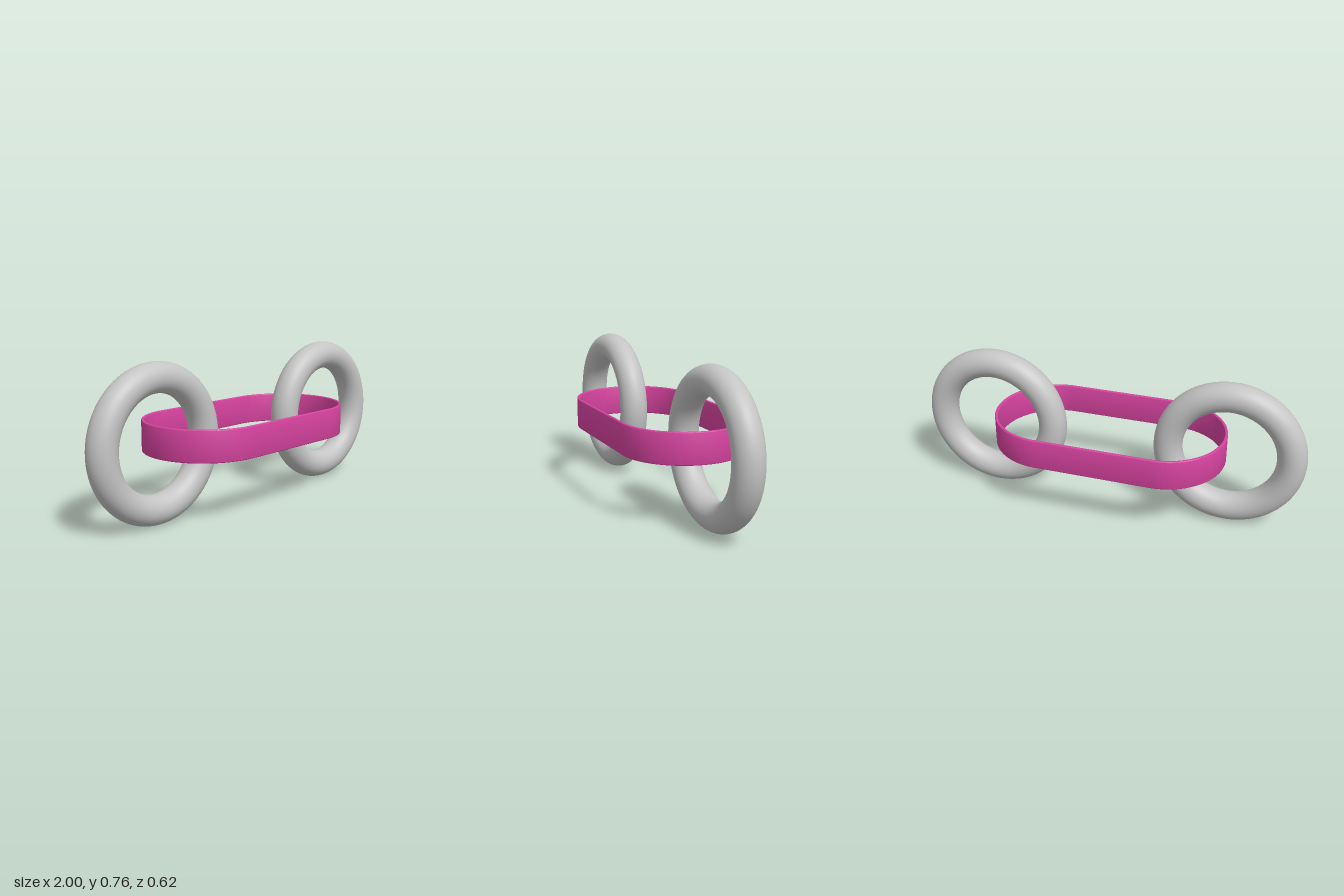
import * as THREE from 'three';
import { toCreasedNormals } from 'three/addons/utils/BufferGeometryUtils.js';

const CENTER_Y = 0.382;

// Stadium outline: two half circles joined by straight sides
function stadium(path, half, r) {
  path.moveTo(-half, -r);
  path.lineTo(half, -r);
  path.absarc(half, 0, r, -Math.PI / 2, Math.PI / 2, false);
  path.lineTo(-half, r);
  path.absarc(-half, 0, r, Math.PI / 2, Math.PI * 1.5, false);
  return path;
}

export function createModel() {
  const group = new THREE.Group();
  const grey = new THREE.MeshStandardMaterial({ color: 0xc4c4c4 });
  grey.name = 'light grey';
  const pink = new THREE.MeshStandardMaterial({ color: 0xd6439f });
  pink.name = 'magenta';

  // Upright rings at both ends
  const ringGeometry = new THREE.TorusGeometry(0.309, 0.073, 40, 96);
  for (const side of [1, -1]) {
    const ring = new THREE.Mesh(ringGeometry, grey);
    ring.name = side > 0 ? 'leftRing' : 'rightRing';
    ring.position.set(side * 0.618, CENTER_Y, 0);
    group.add(ring);
  }

  // Thin flat band linking the rings, with softly rounded rims
  const height = 0.156, bevel = 0.005;
  const shape = stadium(new THREE.Shape(), 0.294, 0.309);
  shape.holes.push(stadium(new THREE.Path(), 0.294, 0.294));
  const bandGeometry = new THREE.ExtrudeGeometry(shape, {
    depth: height - 2 * bevel, curveSegments: 40,
    bevelEnabled: true, bevelThickness: bevel, bevelSize: bevel,
    bevelOffset: -bevel, bevelSegments: 3,
  });
  bandGeometry.translate(0, 0, -(height / 2 - bevel));
  bandGeometry.rotateX(-Math.PI / 2);
  const band = new THREE.Mesh(toCreasedNormals(bandGeometry, 0.7), pink);
  band.name = 'linkBand';
  band.position.y = CENTER_Y + 0.002;
  group.add(band);

  return group;
}
